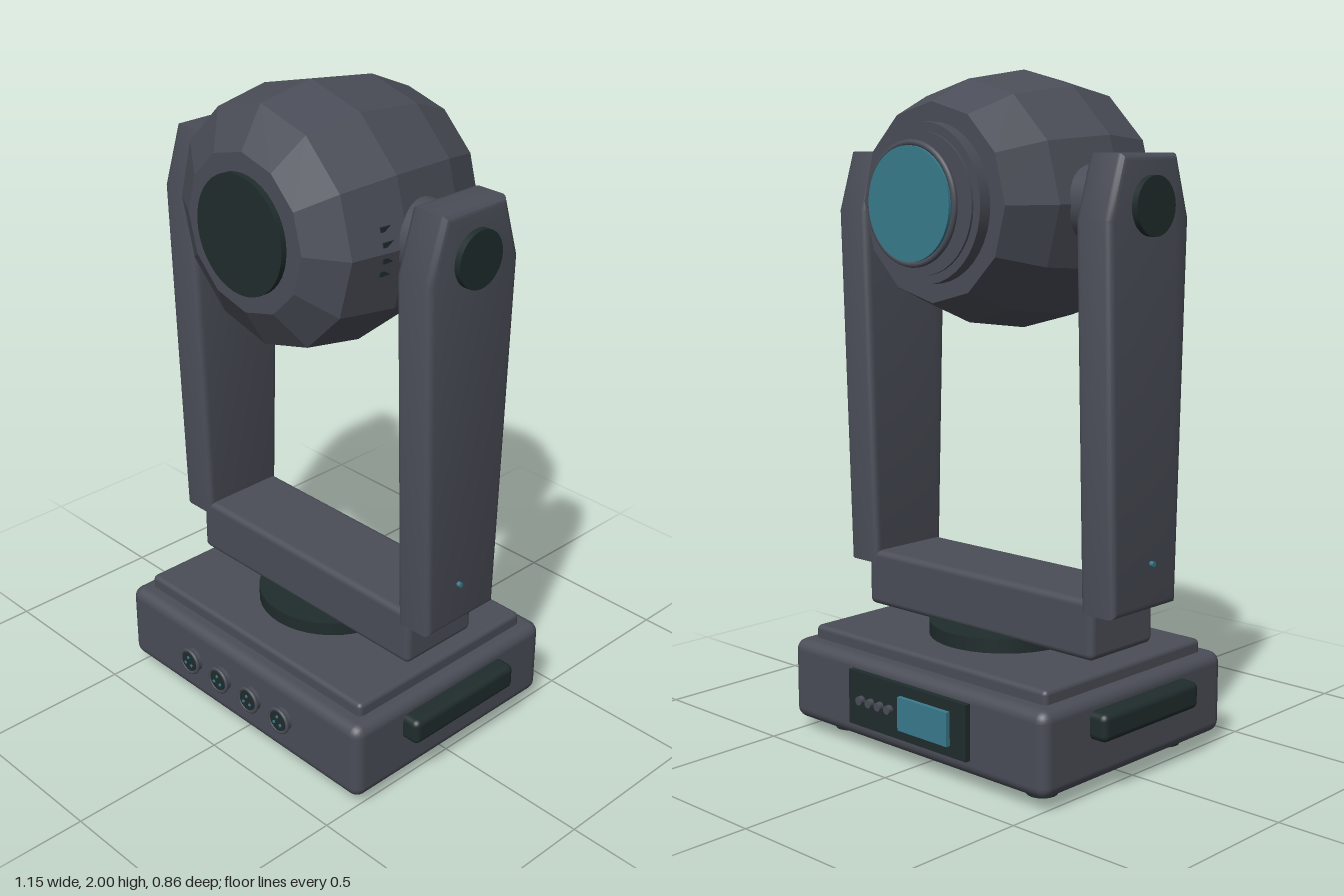
import * as THREE from 'three';
import { toCreasedNormals } from 'three/addons/utils/BufferGeometryUtils.js';
import { RoundedBoxGeometry } from 'three/addons/geometries/RoundedBoxGeometry.js';

const material = (name, color, flat = false) =>
  new THREE.MeshStandardMaterial({ name, color, flatShading: flat });

export function createModel() {
  const model = new THREE.Group();
  model.name = 'movingHeadLight';
  const body = material('body grey', 0x4a4d57);
  const facet = material('faceted grey', 0x4a4d57, true);
  const dark = material('dark rubber', 0x202c2c);
  const teal = material('teal glass', 0x387a8b);

  const add = (name, geometry, mat, x = 0, y = 0, z = 0, parent = model) => {
    const mesh = new THREE.Mesh(geometry, mat);
    mesh.name = name;
    mesh.position.set(x, y, z);
    parent.add(mesh);
    return mesh;
  };
  const rounded = (w, h, d, r) => new RoundedBoxGeometry(w, h, d, 3, r);
  const cylX = (r, l, n = 32) => new THREE.CylinderGeometry(r, r, l, n).rotateZ(Math.PI / 2);
  const cylZ = (r, l, n = 32) => new THREE.CylinderGeometry(r, r, l, n).rotateX(Math.PI / 2);

  // Base with top plate, turntable and feet
  add('base', rounded(1.04, 0.25, 0.8, 0.035), body, 0, 0.16, 0);
  add('basePlate', rounded(0.95, 0.075, 0.69, 0.015), body, 0, 0.2875, 0);
  add('turntable', new THREE.CylinderGeometry(0.23, 0.23, 0.05, 40), dark, 0, 0.342, 0);
  for (const x of [-0.4, 0.4]) {
    for (const z of [-0.275, 0.275]) {
      add('foot', new THREE.CylinderGeometry(0.05, 0.045, 0.05, 20), dark, x, 0.025, z);
    }
  }

  // Front connectors: barrel, flange, dark socket and three pins
  for (const x of [-0.206, -0.069, 0.069, 0.206]) {
    const connector = new THREE.Group();
    connector.name = 'connector';
    connector.position.set(x, 0.165, 0);
    model.add(connector);
    add('connectorBarrel', cylZ(0.038, 0.04, 24), body, 0, 0, 0.4, connector);
    add('connectorRim', new THREE.TorusGeometry(0.038, 0.006, 8, 28), body, 0, 0, 0.418, connector);
    add('connectorSocket', cylZ(0.032, 0.006, 24), dark, 0, 0, 0.42, connector);
    for (let i = 0; i < 3; i++) {
      const a = Math.PI / 2 + i * Math.PI * 2 / 3;
      add('connectorPin', cylZ(0.005, 0.008, 8), teal,
        Math.cos(a) * 0.016, Math.sin(a) * 0.016, 0.422, connector);
    }
  }

  // Rear control panel
  add('controlPanel', new THREE.BoxGeometry(0.485, 0.165, 0.03), dark, 0, 0.168, -0.403);
  add('screen', new THREE.BoxGeometry(0.2, 0.1, 0.02), teal, -0.08, 0.168, -0.422);
  for (let i = 0; i < 4; i++) {
    add('panelButton', cylZ(0.013, 0.02, 16), body, 0.065 + i * 0.04, 0.168, -0.424);
  }

  // Yoke crossbar
  add('yokeBar', rounded(0.92, 0.175, 0.275, 0.02), body, 0, 0.4425, 0);

  // Tapered arm outline, drawn in the side plane and extruded across x
  const outline = new THREE.Shape([
    [-0.14, 0.49], [0.14, 0.49], [0.173, 1.585], [0.118, 1.762], [-0.118, 1.762], [-0.173, 1.585],
  ].map(([z, y]) => new THREE.Vector2(z, y)));
  const bevel = 0.02;
  const armGeometry = toCreasedNormals(new THREE.ExtrudeGeometry(outline, {
    depth: 0.125 - 2 * bevel, bevelSize: bevel, bevelThickness: bevel,
    bevelOffset: -bevel, bevelSegments: 3,
  }).translate(0, 0, -0.0425).rotateY(Math.PI / 2), 0.6);

  for (const s of [-1, 1]) {
    add('yokeArm', armGeometry, body, s * 0.4785, 0, 0);
    add('armCap', cylX(0.083, 0.04), dark, s * 0.54, 1.62, 0);
    add('tiltAxle', cylX(0.11, 0.12), body, s * 0.37, 1.622, 0);
    add('statusLight', cylX(0.008, 0.02, 10), teal, s * 0.543, 0.625, 0.02);
    add('carryHandle', rounded(0.09, 0.082, 0.425, 0.02), dark, s * 0.53, 0.205, 0);
    // Cooling slots in the side of the head
    for (const y of [1.56, 1.6, 1.645, 1.685]) {
      add('coolingSlot', new THREE.BoxGeometry(0.03, 0.014, 0.05), dark,
        s * (0.353 - Math.abs(y - 1.622) * 0.27), y, 0.135);
    }
  }

  // Twelve-sided head housing, turned along z
  const head = new THREE.Group();
  head.name = 'head';
  head.position.y = 1.622;
  model.add(head);
  const profile = [[0, -0.298], [0.28, -0.298], [0.345, -0.15], [0.377, 0.08],
    [0.347, 0.26], [0.23, 0.33], [0, 0.33]].map(([r, z]) => new THREE.Vector2(r, z));
  add('headHousing', new THREE.LatheGeometry(profile, 12).rotateX(Math.PI / 2), facet, 0, 0, 0, head);
  add('endCap', cylZ(0.172, 0.03, 40), dark, 0, 0, 0.333, head);

  // Stepped lens mount, retaining ring and lens
  add('lensMount', cylZ(0.225, 0.06, 40), body, 0, 0, -0.307, head);
  add('lensStep', cylZ(0.2, 0.03, 40), body, 0, 0, -0.329, head);
  add('lensRing', new THREE.TorusGeometry(0.167, 0.009, 10, 48), body, 0, 0, -0.377, head);
  add('lens', cylZ(0.16, 0.02, 48), teal, 0, 0, -0.381, head);

  return model;
}
